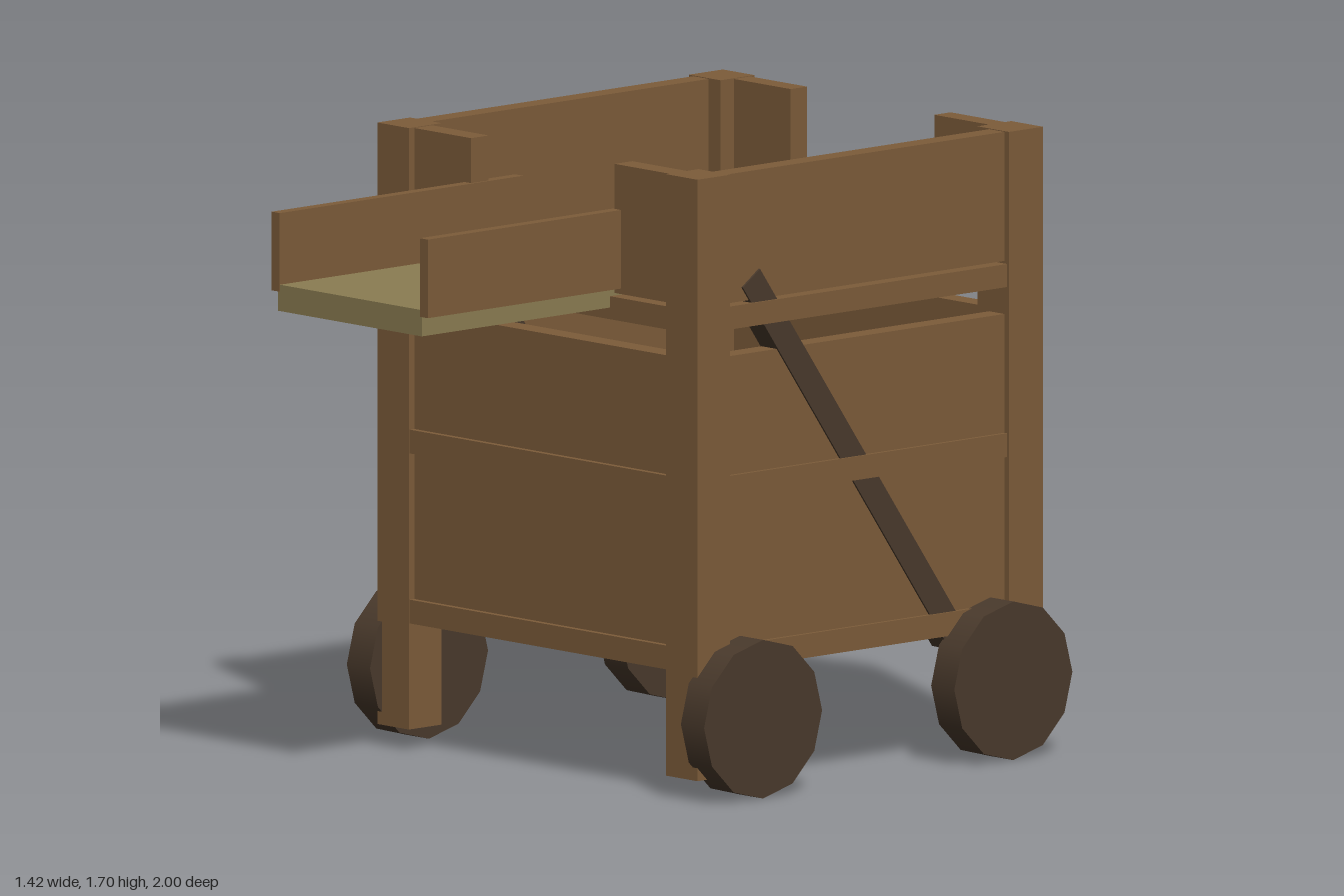
import * as THREE from 'three';

export function createModel() {
  const root = new THREE.Group();
  root.name = 'wheeledCart';
  const wood = new THREE.MeshStandardMaterial({ color: 0x7d5c3a });
  wood.name = 'brown wood';
  const plank = new THREE.MeshStandardMaterial({ color: 0x8b7d52 });
  plank.name = 'olive plank';
  const dark = new THREE.MeshStandardMaterial({ color: 0x4a3a2c });
  dark.name = 'dark wood';

  // Box given by its min and max on each axis
  function box(name, material, [x0, x1], [y0, y1], [z0, z1]) {
    const mesh = new THREE.Mesh(new THREE.BoxGeometry(x1 - x0, y1 - y0, z1 - z0), material);
    mesh.position.set((x0 + x1) / 2, (y0 + y1) / 2, (z0 + z1) / 2);
    mesh.name = name;
    root.add(mesh);
    return mesh;
  }
  const span = (s, a, b) => (s > 0 ? [a, b] : [-b, -a]);

  const postZ = [[0.19, 0.31], [-0.96, -0.835]];
  const panelZ = [[0.225, 0.29], [-0.945, -0.885]];
  const lowerPanels = [[0.41, 0.815], [0.88, 1.205]];

  // Floors, whose edges show as rails between the panels
  for (const [name, y] of [['bottomFloor', [0.35, 0.415]], ['middleFloor', [0.815, 0.88]], ['topFloor', [1.28, 1.343]]]) {
    box(name, wood, [-0.628, 0.628], y, [-0.957, 0.307]);
  }

  // Front and back panels below the deck
  for (const z of panelZ) {
    for (const y of lowerPanels) box('endPanel', wood, [-0.515, 0.515], y, z);
  }

  for (const s of [1, -1]) {
    // Corner posts
    for (const z of postZ) box('cornerPost', wood, span(s, 0.51, 0.635), [0.06, 1.705], z);

    // Side panels, and short parapets beside the end openings
    for (const y of [...lowerPanels, [1.35, 1.703]]) {
      box('sidePanel', wood, span(s, 0.557, 0.617), y, [-0.84, 0.195]);
    }
    for (const z of panelZ) box('parapet', wood, span(s, 0.285, 0.515), [1.35, 1.703], z);

    // Diagonal brace
    const top = new THREE.Vector2(0.1, 1.41), low = new THREE.Vector2(-0.66, 0.335);
    const brace = new THREE.Mesh(new THREE.BoxGeometry(0.07, top.distanceTo(low), 0.077), dark);
    brace.position.set(s * 0.588, (top.y + low.y) / 2, (top.x + low.x) / 2);
    brace.rotation.x = Math.atan2(top.x - low.x, top.y - low.y);
    brace.name = 'diagonalBrace';
    root.add(brace);

    // Wheels
    for (const z of [0.137, -0.783]) {
      const wheel = new THREE.Mesh(new THREE.CylinderGeometry(0.217, 0.217, 0.092, 12), dark);
      wheel.rotation.z = Math.PI / 2;
      wheel.position.set(s * 0.663, 0.219, z);
      wheel.name = 'wheel';
      root.add(wheel);
    }

    // Gangplank side boards
    box('gangplankSide', wood, span(s, 0.278, 0.31), [1.365, 1.58], [0.105, 1.0]);
  }

  // Gangplank and the crossbar under the deck
  box('gangplank', plank, [-0.285, 0.285], [1.312, 1.384], [0.105, 0.999]);
  box('crossbar', plank, [-0.285, 0.285], [1.216, 1.266], [-0.77, -0.66]);

  return root;
}
